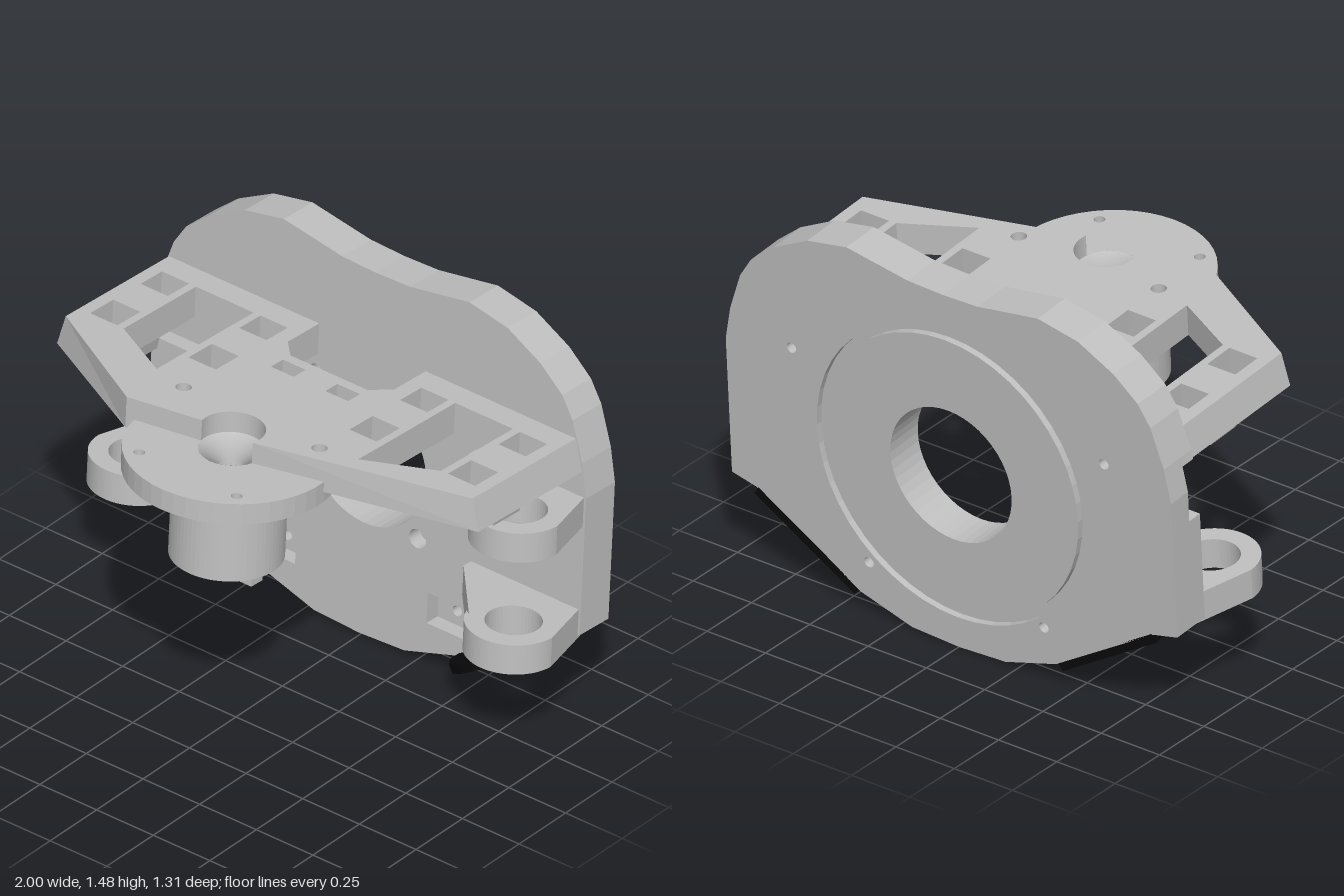
import * as THREE from 'three';

const grey = new THREE.MeshStandardMaterial({ color: 0xbfbfbf });
grey.name = 'light grey';
const black = new THREE.MeshStandardMaterial({ color: 0x0a0a0a });
black.name = 'black';
const greyOpen = grey;
greyOpen.side = THREE.DoubleSide;

const poly = (pts) => new THREE.Shape(pts.map(([x, y]) => new THREE.Vector2(x, y)));
const circle = (x, y, r) => new THREE.Shape().absarc(x, y, r, 0, Math.PI * 2, false);
const rect = (x, y, w, h) => poly([
  [x - w / 2, y - h / 2], [x + w / 2, y - h / 2], [x + w / 2, y + h / 2], [x - w / 2, y + h / 2]]);
const extrude = (shape, holes, depth) => {
  shape.holes.push(...holes);
  return new THREE.ExtrudeGeometry(shape, { depth, bevelEnabled: false, curveSegments: 24 });
};
// upright slab between depths z0 and z1
const upright = (shape, holes, z0, z1) => extrude(shape, holes, z1 - z0).translate(0, 0, z0);
// level slab between heights y0 and y1; the shape's y axis points to the back
const level = (shape, holes, y0, y1) =>
  extrude(shape, holes, y1 - y0).rotateX(-Math.PI / 2).translate(0, y0, 0);

export function createModel() {
  const model = new THREE.Group();
  const body = new THREE.Group();
  body.name = 'tiltedBody';
  body.rotation.x = -0.065;
  model.add(body);
  const add = (name, geo, mat = grey) => {
    const mesh = new THREE.Mesh(geo, mat);
    mesh.name = name;
    body.add(mesh);
    return mesh;
  };
  const both = (fn) => [1, -1].map(fn);

  // Back plate in three layers: pockets at the front, a ring groove at the back
  const half = [[0.2, 0.047], [0.42, 0.115], [0.85, 0.385], [0.955, 0.41], [0.955, 0.95],
    [0.93, 1.08], [0.88, 1.23], [0.83, 1.31], [0.73, 1.395], [0.58, 1.475], [0.41, 1.508], [0.15, 1.465]];
  const mirrored = half.map(([x, y]) => [-x, y]).reverse();
  const outline = [[0, 0.037], ...half, [0, 1.46], ...mirrored];
  const recess = [[-0.937, 1.045], [-0.48, 1.045], [-0.48, 0.83], [-0.955, 0.83]];
  const notched = [[0, 0.037], ...half, [0, 1.46], ...mirrored.slice(0, 7), ...recess, ...mirrored.slice(8)];
  const cy = 0.732;
  const bore = () => circle(0, cy, 0.26);
  const screws = () => both((s) => [circle(s * 0.67, 1.01, 0.02), circle(s * 0.375, 0.247, 0.02)]).flat();
  const frontHoles = both((s) => [
    circle(s * 0.235, 0.502, 0.037), circle(s * 0.235, 0.967, 0.037), rect(s * 0.375, 0.252, 0.17, 0.12),
  ]).flat();
  add('plateFront', upright(poly(notched), [bore(), circle(0.67, 1.01, 0.028), ...frontHoles], -0.47, -0.41));
  add('plateCore', upright(poly(outline), [bore(), ...screws()], -0.54, -0.47));
  add('plateBack', upright(poly(outline), [circle(0, cy, 0.575), ...screws()], -0.565, -0.54));
  add('plateBackRing', upright(circle(0, cy, 0.545), [bore()], -0.565, -0.54));

  // Perforated shelf with an open round cut at the front
  const my = -0.345;
  const shelf = new THREE.Shape();
  shelf.moveTo(0.4, -0.427);
  shelf.absarc(0, my, 0.115, -0.24, Math.PI + 0.24, false);
  [[-0.4, -0.427], [-0.93, -0.147], [-0.93, 0.411], [-0.235, 0.411], [-0.235, 0.24], [-0.17, 0.175],
    [0.17, 0.175], [0.235, 0.24], [0.235, 0.411], [0.93, 0.411], [0.93, -0.147]]
    .forEach(([x, y]) => shelf.lineTo(x, y));
  shelf.closePath();
  const shelfHoles = both((s) => [
    ...[0.355, 0.79].flatMap((x) => [rect(s * x, 0.256, 0.12, 0.115), rect(s * x, -0.012, 0.12, 0.125)]),
    rect(s * 0.12, 0.103, 0.1, 0.065),
    circle(s * 0.3, -0.242, 0.028),
    poly([[s * 0.445, 0.313], [s * 0.7, 0.313], [s * 0.7, -0.077], [s * 0.445, -0.21]]),
  ]).flat();
  const shelfGeo = level(shelf, shelfHoles, 1.045, 1.165);
  // lean the outer side walls inwards towards the top
  const p = shelfGeo.attributes.position;
  for (let i = 0; i < p.count; i++) {
    if (Math.abs(p.getX(i)) > 0.9 && p.getY(i) > 1.1) p.setX(i, Math.sign(p.getX(i)) * 0.898);
  }
  shelfGeo.computeVertexNormals();
  add('shelf', shelfGeo);

  // Hanger tabs under the shelf
  both((s) => {
    const tab = poly([[-0.04, 0.95], [0.04, 0.95], [0.06, 1.05], [-0.06, 1.05]]);
    add('hangerTab', upright(tab, [], -0.19, -0.05).translate(s * 0.8, 0, 0));
  });

  // Round flange, funnel and drum
  add('flange', level(circle(0, my, 0.375),
    [circle(0, my, 0.115), ...both((s) => circle(s * 0.215, my - 0.235, 0.02))], 1.005, 1.085));
  const funnel = [[0.115, 1.085], [0.045, 1.02], [0.045, 0.677]].map(([x, y]) => new THREE.Vector2(x, y));
  add('funnel', new THREE.LatheGeometry(funnel, 32).translate(0, 0, -my), greyOpen);
  add('drumTop', level(circle(0, my, 0.2), [circle(0, my, 0.045)], 0.895, 1.005));
  const cut = Math.asin(0.6);
  const drum = new THREE.Shape().absarc(0, my, 0.2, Math.PI - cut, Math.PI * 2 + cut, false);
  drum.closePath();
  add('drumBody', level(drum, [circle(0, my, 0.045)], 0.677, 0.895));
  both((s) => add('drumPin', new THREE.BoxGeometry(0.05, 0.07, 0.06).translate(s * 0.12, 0.65, 0.355)));
  // ribbed block behind the drum
  for (let i = 0; i < 5; i++) {
    add('drumRib', new THREE.BoxGeometry(0.03, 0.065, 0.06).translate(-0.1 + i * 0.05, 0.863, 0.215));
  }

  // Eyelet lugs: two low, one high on the left
  const lug = (s, y0, y1) => {
    const shape = new THREE.Shape();
    shape.moveTo(0.47, 0.43);
    shape.lineTo(0.47, 0.37);
    shape.lineTo(0.69, 0.13);
    shape.absarc(0.83, 0.2, 0.17, Math.PI + 0.35, Math.PI * 2, false);
    shape.lineTo(0.94, 0.43);
    shape.closePath();
    const pts = shape.getPoints(20).map((v) => [s * v.x, v.y]);
    add('eyeletLug', level(poly(pts), [circle(s * 0.83, 0.2, 0.1)], y0, y1));
  };
  lug(1, 0.393, 0.508);
  lug(-1, 0.393, 0.508);
  lug(1, 0.836, 0.95);

  // Black rounded skids along the lower slanted edges
  const slant = Math.atan2(0.27, 0.43);
  const skidPts = [[0, 0.565], [0, 0.44], [0.02, 0.35], [0.09, 0.27], [0.17, 0.235], [0.24, 0.225],
    [0.32, 0.255], [0.41, 0.36], [0.46, 0.47], [0.49, 0.565]];
  both((s) => {
    const pts = skidPts.map(([x, y]) => [s * x, y]);
    const skid = add('skid', level(poly(pts), [], -0.035, 0), black);
    skid.position.set(s * 0.428, 0.125, 0);
    skid.rotation.z = s * slant;
  });

  return model;
}
